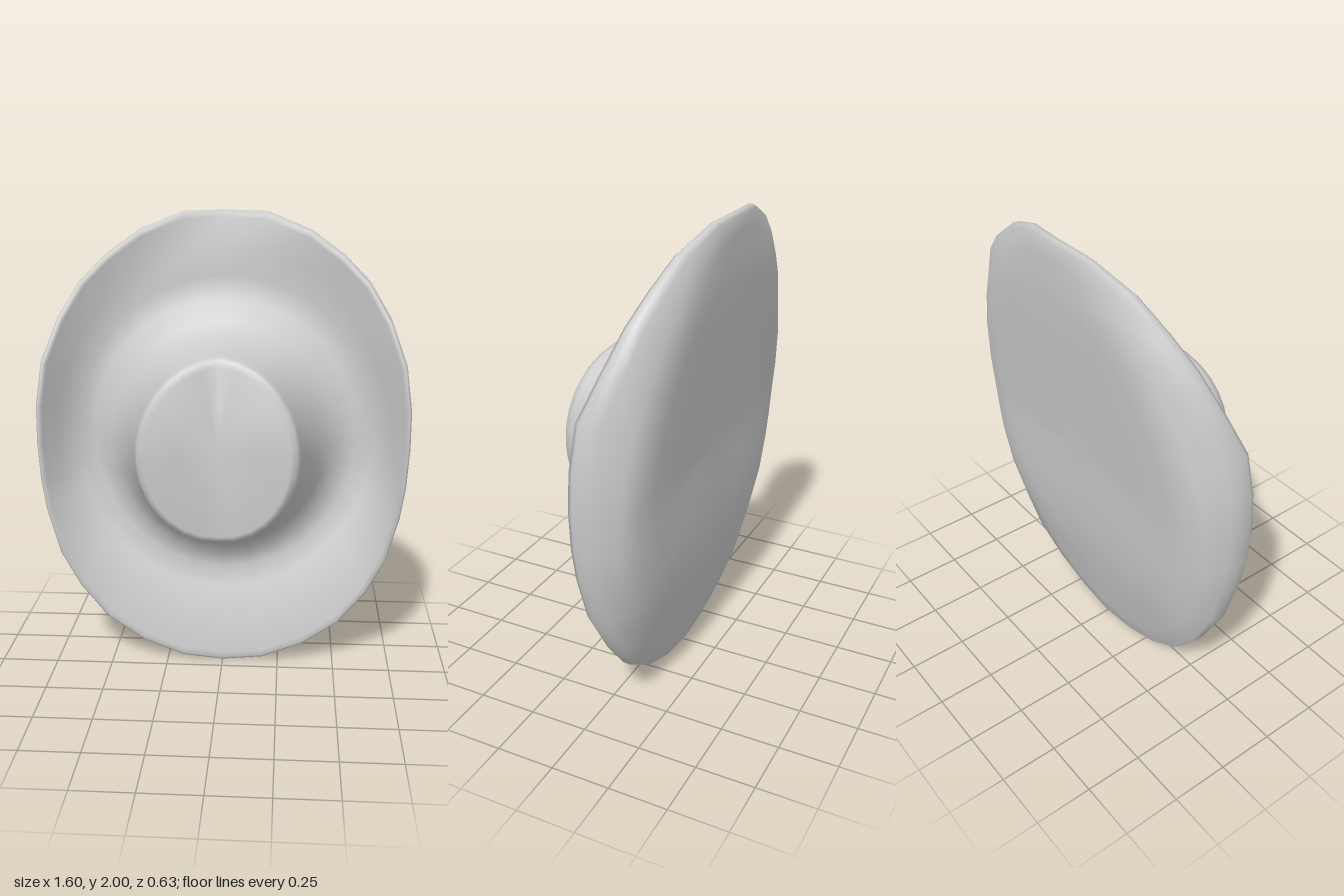
import * as THREE from 'three';
import { mergeVertices } from 'three/addons/utils/BufferGeometryUtils.js';

// Right half of the brim edge, from top to bottom: x, y, z
const halfRim = [
  [0, 2, -0.27], [0.18, 1.995, -0.26], [0.37, 1.92, -0.215], [0.51, 1.82, -0.18],
  [0.62, 1.71, -0.14], [0.71, 1.56, -0.09], [0.775, 1.38, -0.02], [0.8, 1.19, 0],
  [0.8, 1.03, 0.01], [0.79, 0.86, 0.01], [0.77, 0.72, 0.005], [0.72, 0.52, -0.01],
  [0.64, 0.35, -0.04], [0.52, 0.2, -0.045], [0.36, 0.09, -0.045], [0.18, 0.02, -0.045],
  [0, 0, -0.05],
];
const rim = [...halfRim, ...halfRim.slice(1, -1).reverse().map(([x, y, z]) => [-x, y, z])];

// Unit direction (sin, cos) of every rim point around the hat's middle
const directions = rim.map(([x, y]) => {
  const s = x / 0.8, c = (y - 1.05) / (y > 1.05 ? 0.95 : 1.05);
  const length = Math.hypot(s, c);
  return [s / length, c / length];
});

// How a ring's depth passes from its sides to its top and bottom
const curled = (s, c) => c * c;
const pinched = (s) => 1 - Math.abs(s);
const wide = (s) => 1 - s ** 4;

// Oval ring with its own depth at the top, sides and bottom
function oval(halfWidth, top, bottom, zTop, zSide, zBottom, blend) {
  return directions.map(([s, c]) => {
    const zEnd = c > 0 ? zTop : zBottom;
    return [
      s * halfWidth,
      (top + bottom) / 2 + c * (top - bottom) / 2,
      zSide + (zEnd - zSide) * blend(s, c),
    ];
  });
}

// Brim edge shrunk a little and moved back, more at the sides than the ends
function edge(scale, backSide, backEnd) {
  return rim.map(([x, y, z], i) => {
    const [s, c] = directions[i];
    return [x * scale, 1.05 + (y - 1.05) * scale, z - backSide * s * s - backEnd * c * c];
  });
}

// Depth of the back by height, from the foot up: y, z
const backProfile = [
  [0, -0.1], [0.2, -0.14], [0.4, -0.19], [0.6, -0.22], [1, -0.235], [1.74, -0.313], [2, -0.318],
];
function backDepth(y) {
  const k = Math.max(1, backProfile.findIndex(([height]) => height >= y));
  const [y0, z0] = backProfile[k - 1], [y1, z1] = backProfile[k];
  return THREE.MathUtils.mapLinear(y, y0, y1, z0, z1);
}

// Ring on the back, with its sides rolled forward by the given amount
function backRing(halfWidth, top, bottom, roll) {
  return oval(halfWidth, top, bottom, 0, 0, 0, curled)
    .map(([x, y], i) => [x, y, backDepth(y) + roll * directions[i][0] ** 2]);
}

// Pinched crown top with a rounded edge
const crownTop = [
  oval(0, 1.07, 1.07, 0.245, 0.245, 0.245, curled),
  oval(0.15, 1.24, 0.89, 0.21, 0.28, 0.247, pinched),
  oval(0.295, 1.41, 0.715, 0.172, 0.312, 0.25, pinched),
  oval(0.322, 1.438, 0.69, 0.162, 0.3, 0.24, pinched),
];

// Crown wall flaring out at its foot
const crownWall = [
  oval(0.335, 1.448, 0.685, 0.14, 0.272, 0.21, pinched),
  oval(0.342, 1.45, 0.67, 0.1, 0.15, 0.14, curled),
  oval(0.4, 1.46, 0.61, 0, 0, 0, curled),
  oval(0.44, 1.485, 0.56, -0.09, -0.09, -0.07, curled),
  oval(0.5, 1.54, 0.5, -0.19, -0.165, -0.12, curled),
];

// Flat-bottomed brim with steep sides, rising to a rounded lip
const brim = [
  oval(0.58, 1.63, 0.43, -0.24, -0.2, -0.145, wide),
  oval(0.66, 1.73, 0.34, -0.25, -0.175, -0.12, wide),
  oval(0.73, 1.85, 0.18, -0.245, -0.1, -0.068, wide),
  edge(0.965, 0.015, 0.005),
  edge(0.985, 0, 0),
  edge(0.998, 0.02, 0.012),
  edge(1, 0.06, 0.03),
  edge(0.99, 0.11, 0.048),
];

// Rolled underside closing into a nearly flat back panel
const underside = [
  backRing(0.745, 1.93, 0.08, 0.055),
  backRing(0.67, 1.84, 0.25, 0.015),
  backRing(0.57, 1.74, 0.44, 0),
  backRing(0.38, 1.5, 0.66, 0),
  backRing(0.19, 1.28, 0.84, 0),
  backRing(0, 1.06, 1.06, 0),
];

export function createModel() {
  const hat = new THREE.Group();
  hat.name = 'hat';
  const felt = new THREE.MeshStandardMaterial({ color: 0xcccccc });

  // One closed skin over all rings, so shading runs smoothly between parts
  const rings = [...crownTop, ...crownWall, ...brim, ...underside];
  const n = rim.length, index = [];
  for (let r = 0; r < rings.length - 1; r++) {
    for (let i = 0; i < n; i++) {
      const a = r * n + i, b = r * n + (i + 1) % n;
      index.push(a, b + n, a + n, a, b, b + n);
    }
  }
  let skin = new THREE.BufferGeometry();
  skin.setAttribute('position', new THREE.Float32BufferAttribute(rings.flat(2), 3));
  skin.setIndex(index);
  skin = mergeVertices(skin);
  skin.computeVertexNormals();

  // Cut the skin into its named parts, which share positions and normals
  let start = 0;
  for (const [name, part] of Object.entries({ crownTop, crownWall, brim, underside })) {
    const end = start + part.length * n * 6;
    const geometry = new THREE.BufferGeometry();
    geometry.setAttribute('position', skin.getAttribute('position').clone());
    geometry.setAttribute('normal', skin.getAttribute('normal').clone());
    geometry.setIndex(Array.from(skin.index.array.slice(start, end)));
    const mesh = new THREE.Mesh(geometry, felt);
    mesh.name = name;
    hat.add(mesh);
    start = end;
  }
  return hat;
}
